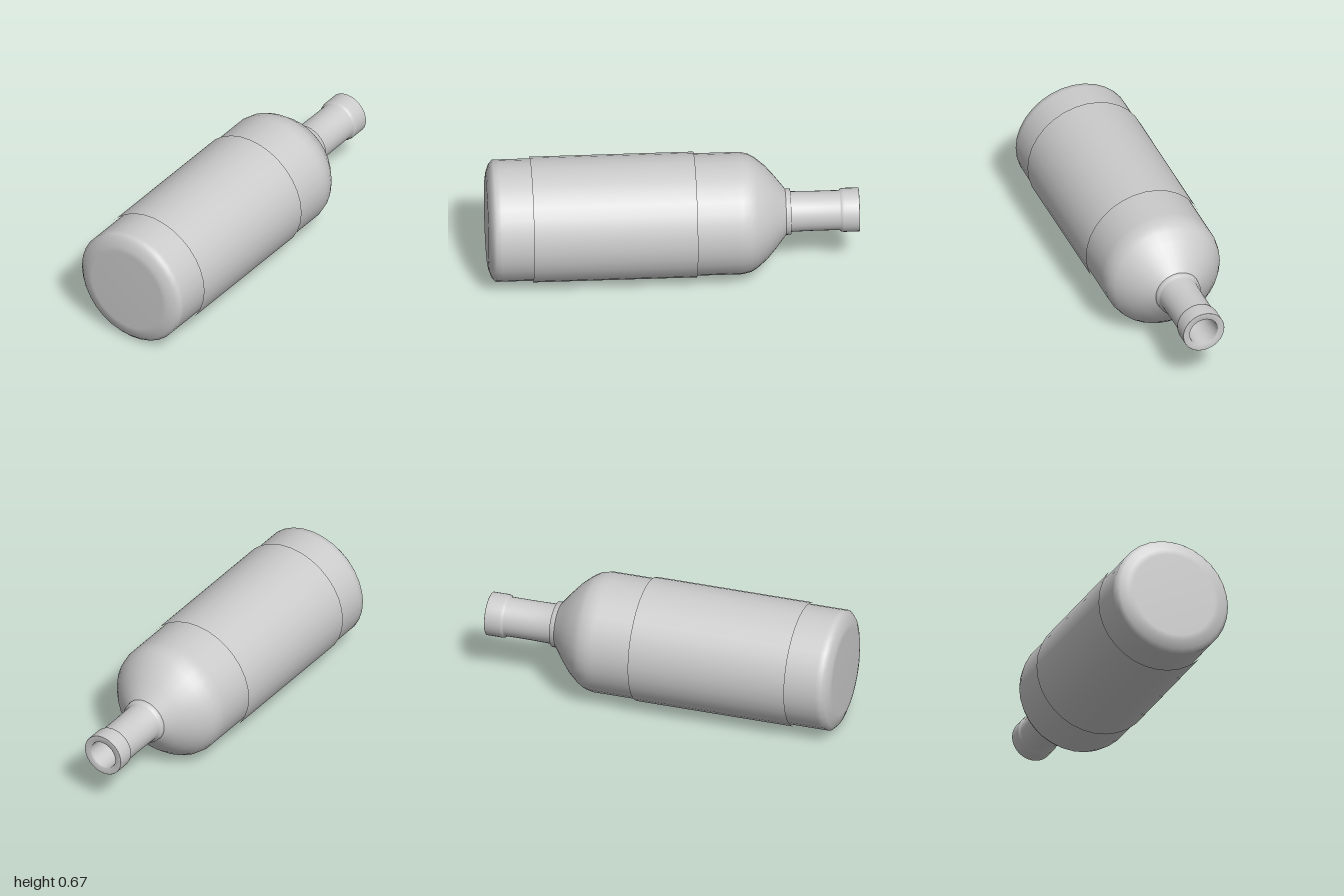
import * as THREE from 'three';

const SEGMENTS = 32;
const AXIS_Y = 0.337;

// Lathe a [radius, z] profile around the bottle's lying axis, base first, mouth last
function lathe(name, profile, material) {
  const points = profile.map(([r, z]) => new THREE.Vector2(r, -z));
  const geometry = new THREE.LatheGeometry(points, SEGMENTS);
  geometry.rotateX(-Math.PI / 2);
  const mesh = new THREE.Mesh(geometry, material);
  mesh.name = name;
  mesh.position.y = AXIS_Y;
  return mesh;
}

export function createModel() {
  const group = new THREE.Group();
  group.name = 'bottle';
  const glass = new THREE.MeshStandardMaterial({ color: 0xcccccc });

  // Base, straight wall and rounded shoulder
  group.add(lathe('body', [
    [0, 1], [0.235, 1], [0.265, 0.995], [0.307, 0.98], [0.328, 0.96], [0.328, 0.93],
    [0.328, -0.33], [0.328, -0.365], [0.318, -0.41], [0.298, -0.445],
    [0.252, -0.5], [0.195, -0.55], [0.125, -0.605],
  ], glass));

  // Collar, neck, lip and the bore inside the mouth
  group.add(lathe('neck', [
    [0.125, -0.605], [0.123, -0.632], [0.109, -0.634], [0.107, -0.75], [0.107, -0.895],
    [0.115, -0.9], [0.118, -0.915], [0.118, -0.998], [0.116, -1],
    [0.082, -1], [0.079, -0.99], [0.077, -0.9], [0.077, -0.65], [0, -0.63],
  ], glass));

  // Thin sleeve wrapped around the body
  group.add(lathe('label', [[0.337, 0.76], [0.337, -0.12]], glass));

  return group;
}
